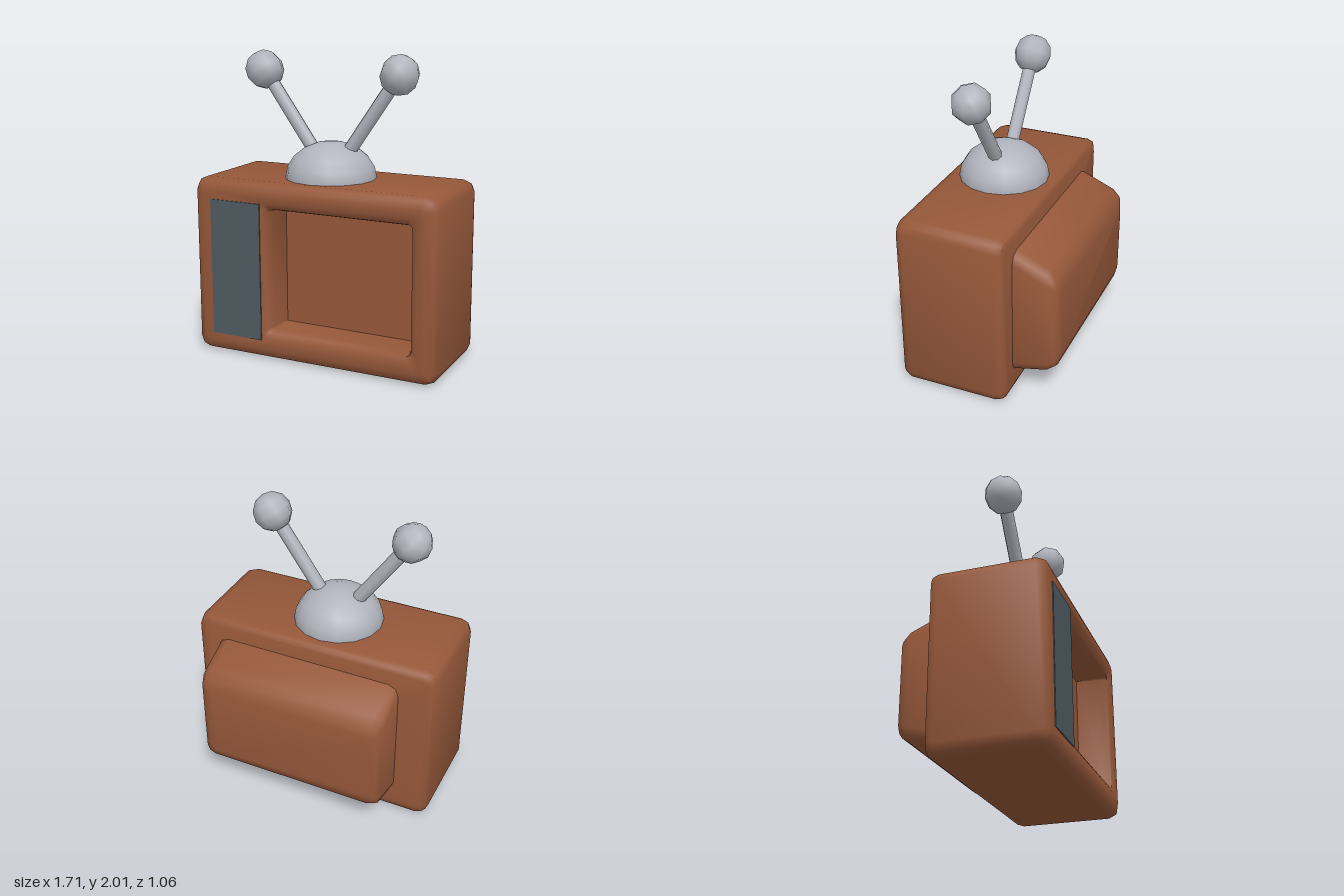
import * as THREE from 'three';
import { toCreasedNormals } from 'three/addons/utils/BufferGeometryUtils.js';

const material = (name, color) => {
  const m = new THREE.MeshStandardMaterial({ color });
  m.name = name;
  return m;
};

// Rounded rectangle at depth z, counter-clockwise from the front
function ring(x0, x1, y0, y1, z, r) {
  const points = [];
  const corners = [[x1 - r, y0 + r], [x1 - r, y1 - r], [x0 + r, y1 - r], [x0 + r, y0 + r]];
  corners.forEach(([cx, cy], k) => {
    for (let i = 0; i <= 2; i++) {
      const a = (k - 1 + i / 2) * Math.PI / 2;
      points.push([cx + r * Math.cos(a), cy + r * Math.sin(a), z]);
    }
  });
  return points;
}

// Closed skin through a list of rings, running from the back
function loft(rings, crease) {
  const n = rings[0].length;
  const positions = rings.flat(2);
  const index = [];
  for (let i = 0; i < rings.length - 1; i++) {
    for (let j = 0; j < n; j++) {
      const a = i * n + j, b = i * n + (j + 1) % n;
      index.push(a, b, b + n, a, b + n, a + n);
    }
  }
  const last = (rings.length - 1) * n;
  for (let j = 1; j < n - 1; j++) {
    index.push(0, j + 1, j);
    index.push(last, last + j, last + j + 1);
  }
  const g = new THREE.BufferGeometry();
  g.setAttribute('position', new THREE.Float32BufferAttribute(positions, 3));
  g.setIndex(index);
  return toCreasedNormals(g, crease);
}

export function createModel() {
  const model = new THREE.Group();
  model.name = 'television';
  const brown = material('brown casing', 0x96583a);
  const slate = material('dark slate', 0x4f5b61);
  const grey = material('light grey', 0xb1b4bd);

  const add = (name, geometry, mat, parent = model) => {
    const mesh = new THREE.Mesh(geometry, mat);
    mesh.name = name;
    parent.add(mesh);
    return mesh;
  };

  // Casing: bevelled box whose front turns inward to the screen recess
  const outer = (inset, z) => ring(-0.86 + inset, 0.85 - inset, inset, 1.19 - inset, z, 0.075 - inset * 0.5);
  const casing = [
    outer(0.05, -0.23), outer(0.014, -0.215), outer(0, -0.17),
    outer(0, 0.45), outer(0.018, 0.495), outer(0.07, 0.515),
    ring(-0.35, 0.73, 0.14, 1.06, 0.515, 0.04),
    ring(-0.32, 0.69, 0.18, 1.02, 0.49, 0.03),
    ring(-0.305, 0.675, 0.195, 1.005, 0.44, 0.015),
    ring(-0.30, 0.67, 0.20, 1.00, 0.27, 0.004),
  ];
  // The front face leans very slightly back towards +x
  casing.slice(3, 7).flat().forEach((p) => { p[2] -= 0.009 * p[0]; });
  add('casing', loft(casing, 0.9), brown);

  // Tapered housing on the back
  add('backHousing', loft([
    ring(-0.55, 0.62, 0.31, 0.82, -0.53, 0.04),
    ring(-0.60, 0.67, 0.25, 0.90, -0.51, 0.06),
    ring(-0.62, 0.69, 0.21, 0.95, -0.455, 0.075),
    ring(-0.62, 0.69, 0.155, 1.05, -0.22, 0.075),
  ], 0.9), brown);

  // Dark panel beside the screen
  add('sidePanel', new THREE.BoxGeometry(0.37, 0.92, 0.008), slate).position.set(-0.543, 0.592, 0.523);

  // Antenna: dome, rods and knobs
  const antenna = new THREE.Group();
  antenna.name = 'antenna';
  model.add(antenna);
  const dome = add('antennaDome', new THREE.SphereGeometry(0.302, 16, 5, 0, Math.PI * 2, 0, Math.PI / 2), grey, antenna);
  dome.scale.y = 0.8;
  dome.position.set(-0.035, 1.188, 0.137);

  const up = new THREE.Vector3(0, 1, 0);
  for (const [side, x0, x1] of [['right', -0.165, -0.525], ['left', 0.095, 0.445]]) {
    const start = new THREE.Vector3(x0, 1.37, 0.137);
    const end = new THREE.Vector3(x1, 1.877, 0.137);
    const direction = end.clone().sub(start);
    const length = direction.length();
    const turn = new THREE.Quaternion().setFromUnitVectors(up, direction.normalize());
    const rod = add(side + 'Rod', new THREE.CylinderGeometry(0.046, 0.046, length, 8), grey, antenna);
    rod.position.copy(start).lerp(end, 0.5);
    rod.quaternion.copy(turn);
    const knob = add(side + 'Knob', new THREE.SphereGeometry(0.13, 8, 6), grey, antenna);
    knob.position.copy(end);
    knob.quaternion.copy(turn);
  }
  return model;
}
